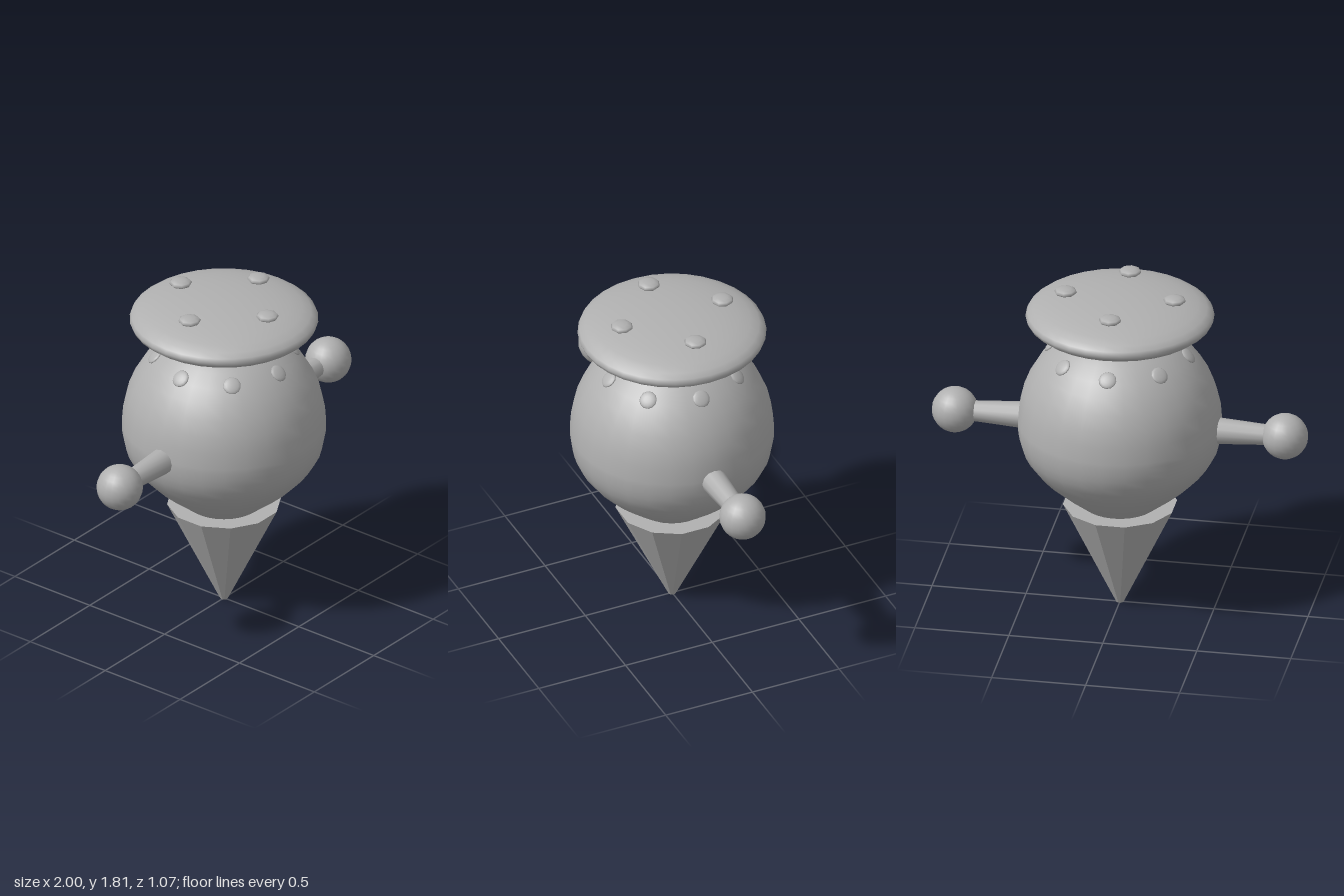
import * as THREE from 'three';

export function createModel() {
  const model = new THREE.Group();
  const grey = new THREE.MeshStandardMaterial({ color: 0xb0b0b0 });
  grey.name = 'grey';

  const add = (name, geometry, x = 0, y = 0, z = 0) => {
    const mesh = new THREE.Mesh(geometry, grey);
    mesh.name = name;
    mesh.position.set(x, y, z);
    model.add(mesh);
    return mesh;
  };

  // Body: half ellipsoid above the waist, tapering curve below it
  const waist = 1.06, radius = 0.535, rise = 0.56;
  const profile = new THREE.SplineCurve([
    [0, 0.5], [0.1, 0.51], [0.21, 0.59], [0.39, 0.74], [0.495, 0.87], [0.53, 0.98], [radius, waist],
  ].map(([x, y]) => new THREE.Vector2(x, y))).getPoints(14);
  for (let i = 1; i <= 10; i++) {
    const a = (i / 10) * Math.PI / 2;
    profile.push(new THREE.Vector2(i === 10 ? 0 : radius * Math.cos(a), waist + rise * Math.sin(a)));
  }
  profile[0].x = 0;
  add('body', new THREE.LatheGeometry(profile, 28));

  // Faceted pointed foot with a flat upper rim
  const foot = new THREE.CylinderGeometry(0.3, 0.02, 0.58, 12).toNonIndexed();
  foot.rotateY(Math.PI / 12);
  foot.computeVertexNormals();
  add('foot', foot, 0, 0.29);

  // Flattened cap
  add('cap', new THREE.SphereGeometry(0.495, 32, 16).scale(1, 0.115 / 0.495, 1), 0, 1.675);

  // Four studs on the cap
  const stud = new THREE.SphereGeometry(0.06, 8, 6).scale(1, 0.35, 1);
  for (let i = 0; i < 4; i++) {
    const a = i * Math.PI / 2;
    add('capStud', stud, 0.29 * Math.sin(a), 1.787, 0.29 * Math.cos(a));
  }

  // Ring of eight studs lying on the body's shoulder
  const shoulderStud = new THREE.SphereGeometry(0.047, 12, 8).scale(1, 0.3, 1);
  const up = new THREE.Vector3(0, 1, 0);
  for (let i = 0; i < 8; i++) {
    const a = i * Math.PI / 4;
    const mesh = add('shoulderStud', shoulderStud, 0.364 * Math.sin(a), 1.47, 0.364 * Math.cos(a));
    mesh.quaternion.setFromUnitVectors(up, new THREE.Vector3(Math.sin(a), 1.03, Math.cos(a)).normalize());
  }

  // Tapered arms ending in balls
  const arm = new THREE.CylinderGeometry(0.052, 0.072, 0.33, 12);
  const hand = new THREE.SphereGeometry(0.122, 20, 14);
  for (const side of [1, -1]) {
    const name = side > 0 ? 'left' : 'right';
    add(name + 'Arm', arm, side * 0.655, 1.045).rotation.z = -side * Math.PI / 2;
    add(name + 'Hand', hand, side * 0.878, 1.045);
  }
  return model;
}
